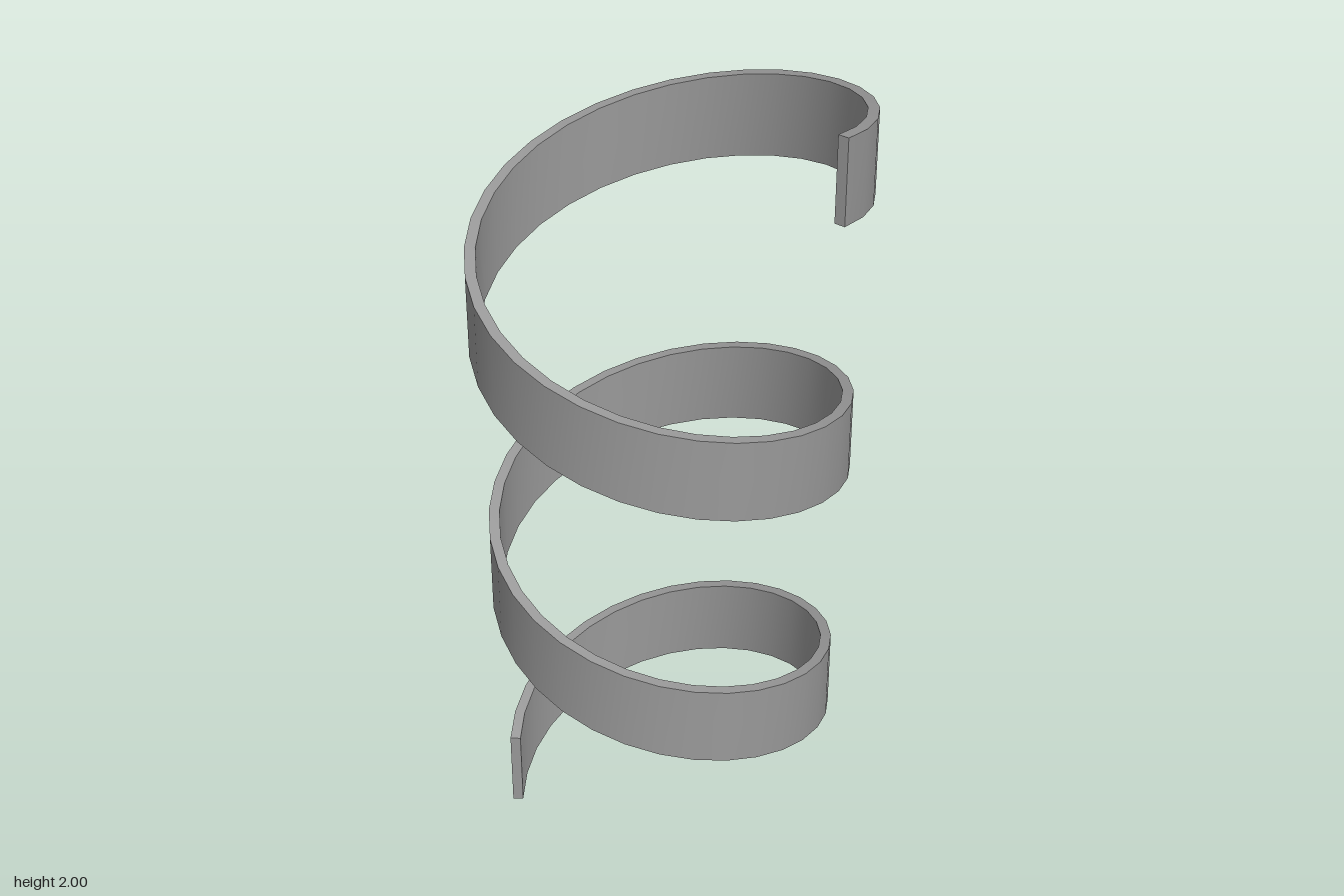
import * as THREE from 'three';

const STEPS = 83, TURNS = STEPS / 32;  // 32 segments per full turn
const R_TOP = 0.436, SHRINK = 0.024;   // outer radius at the top, loss per turn
const THICK = 0.024, HEIGHT = 0.2, TOTAL = 2;
const AXIS_X = -0.006, AXIS_Z = 0.006;

// Four corners of the ribbon's section at u (0 = top end, 1 = bottom end)
function section(u) {
  const t = u * TURNS * Math.PI * 2;
  const ro = R_TOP - SHRINK * TURNS * u, ri = ro - THICK;
  const y = (TOTAL - HEIGHT) * (1 - u);
  return [[ro, y + HEIGHT], [ro, y], [ri, y], [ri, y + HEIGHT]].map(([r, h]) =>
    [AXIS_X + r * Math.cos(t), h, AXIS_Z - r * Math.sin(t)]);
}

function ribbonGeometry() {
  const pos = [], index = [];
  const rings = Array.from({ length: STEPS + 1 }, (_, i) => section(i / STEPS));

  // One smooth strip per side, with separate vertices so the edges stay sharp
  for (let side = 0; side < 4; side++) {
    const base = pos.length / 3;
    rings.forEach((ring, i) => {
      pos.push(...ring[side], ...ring[(side + 1) % 4]);
      if (i < STEPS) {
        const a = base + i * 2;
        index.push(a, a + 1, a + 2, a + 1, a + 3, a + 2);
      }
    });
  }

  // Flat end caps
  for (const cap of [[...rings[0]].reverse(), rings[STEPS]]) {
    const a = pos.length / 3;
    pos.push(...cap.flat());
    index.push(a, a + 1, a + 2, a, a + 2, a + 3);
  }

  const geometry = new THREE.BufferGeometry();
  geometry.setAttribute('position', new THREE.Float32BufferAttribute(pos, 3));
  geometry.setIndex(index);
  geometry.computeVertexNormals();
  return geometry;
}

export function createModel() {
  const group = new THREE.Group();
  group.name = 'spiral';
  const ribbon = new THREE.Mesh(ribbonGeometry(), new THREE.MeshStandardMaterial({ color: 0x999999 }));
  ribbon.name = 'spiralRibbon';
  group.add(ribbon);
  return group;
}
